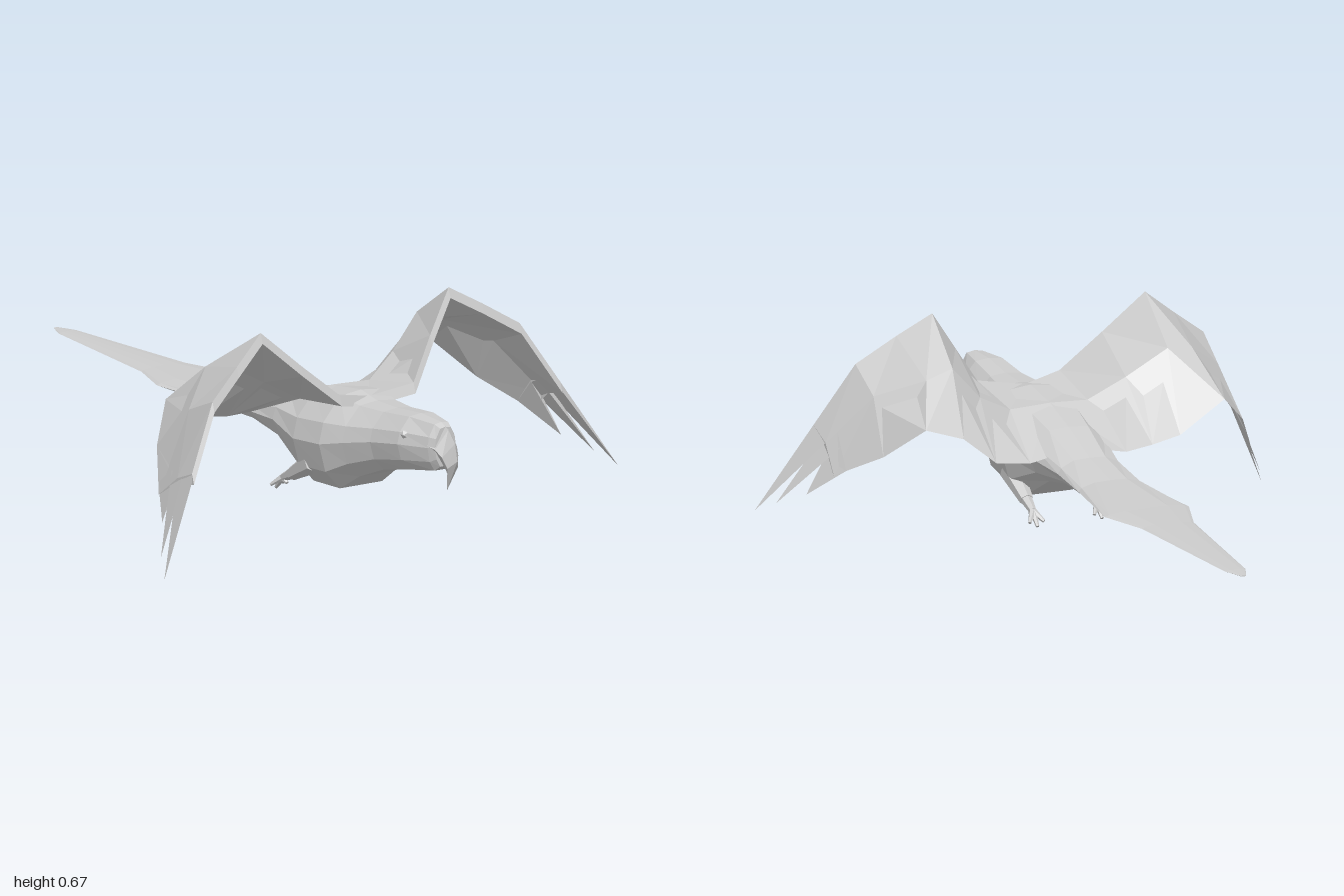
import * as THREE from 'three';

const plumage = new THREE.MeshStandardMaterial({ color: 0xcccccc, flatShading: true, side: THREE.DoubleSide });
plumage.name = 'plumage grey';
const CX = -0.015; // body axis

// Skin a closed surface over rings of [x,y,z] points; a one-point ring makes a tip
function loft(name, rings, flip = false) {
  const n = Math.max(...rings.map(r => r.length));
  const at = (i, j) => rings[i][rings[i].length === 1 ? 0 : j % n];
  const pos = [];
  const tri = (a, b, c) => {
    if (a === b || b === c || a === c) return;
    pos.push(...a, ...(flip ? c : b), ...(flip ? b : c));
  };
  for (let i = 0; i < rings.length - 1; i++) {
    for (let j = 0; j < n; j++) {
      const a = at(i, j), b = at(i, j + 1), c = at(i + 1, j + 1), d = at(i + 1, j);
      tri(a, b, c);
      tri(a, c, d);
    }
  }
  const last = rings.length - 1;
  for (let j = 1; j < n - 1; j++) {
    tri(at(0, 0), at(0, j + 1), at(0, j));
    tri(at(last, 0), at(last, j), at(last, j + 1));
  }
  const g = new THREE.BufferGeometry();
  g.setAttribute('position', new THREE.Float32BufferAttribute(pos, 3));
  g.computeVertexNormals();
  const mesh = new THREE.Mesh(g, plumage);
  mesh.name = name;
  return mesh;
}

const lerp = (a, b, t) => a.map((v, i) => v + (b[i] - v) * t);
const drop = (p, h) => [p[0], p[1] - h, p[2]];

// Tapered limb between two points
function limb(name, a, b, r1, r2) {
  const A = new THREE.Vector3(...a), B = new THREE.Vector3(...b);
  const dir = B.clone().sub(A);
  const mesh = new THREE.Mesh(new THREE.CylinderGeometry(r2, r1, dir.length(), 6), plumage);
  mesh.position.copy(A).add(B).multiplyScalar(0.5);
  mesh.quaternion.setFromUnitVectors(new THREE.Vector3(0, 1, 0), dir.normalize());
  mesh.name = name;
  return mesh;
}

// Body or tail from stations [z, half width, top, bottom]
const half = [[0.5, 0.97], [0.9, 0.72], [1, 0.5], [0.85, 0.2], [0.5, 0]];
const outline = [[0, 1], ...half, ...half.map(([u, v]) => [-u, v]).reverse()];
const bodyLoft = (name, stations) => loft(name, stations.map(([z, w, top, bot]) =>
  outline.map(([u, v]) => [CX + u * w, bot + v * (top - bot), z])));

// Wing from stations of leading, middle and trailing points, then three feather tips
function wing(name, stations, tips, flip) {
  const group = new THREE.Group();
  group.name = name;
  group.add(loft('wingSurface', stations.map(([lead, mid, trail]) =>
    [lead, mid, trail, drop(mid, 0.02), [lead[0], lead[1] - 0.03, lead[2] + 0.01]]), flip));
  const [inner, outer] = stations.slice(-2);
  const base = inner.map((p, i) => lerp(p, outer[i], 0.75));
  const roots = [
    [base[0], base[1]],
    [lerp(base[0], base[1], 0.6), lerp(base[1], base[2], 0.4)],
    [base[1], base[2]],
  ];
  roots.forEach(([front, back], k) => {
    group.add(loft('featherTip', [[front, back, drop(front, 0.025)], [tips[k]]], flip));
  });
  return group;
}

export function createModel() {
  const bird = new THREE.Group();
  bird.name = 'flyingBird';

  bird.add(bodyLoft('body', [
    [0.94, 0.036, 0.4, 0.285],
    [0.92, 0.048, 0.41, 0.27],
    [0.82, 0.083, 0.415, 0.255],
    [0.7, 0.095, 0.405, 0.23],
    [0.6, 0.122, 0.405, 0.19],
    [0.52, 0.146, 0.42, 0.14],
    [0.39, 0.146, 0.405, 0.135],
    [0.25, 0.12, 0.37, 0.215],
    [0.1, 0.098, 0.32, 0.245],
  ]));
  bird.add(bodyLoft('tail', [
    [0.1, 0.098, 0.32, 0.245],
    [-0.05, 0.1, 0.295, 0.25],
    [-0.31, 0.13, 0.285, 0.262],
    [-0.46, 0.08, 0.283, 0.266],
    [-0.94, 0.032, 0.28, 0.273],
    [-1, 0.008, 0.278, 0.275],
  ]));

  // Hooked beak: diamond rings of [top z, top y, bottom z, bottom y, half width]
  const beakRings = [
    [0.92, 0.408, 0.915, 0.285, 0.048],
    [0.955, 0.395, 0.93, 0.28, 0.038],
    [0.988, 0.36, 0.94, 0.275, 0.028],
    [1, 0.31, 0.952, 0.262, 0.018],
  ].map(([tz, ty, bz, by, w]) => {
    const y = (ty + by) / 2, z = (tz + bz) / 2;
    return [[CX, ty, tz], [CX - w, y, z], [CX, by, bz], [CX + w, y, z]];
  });
  bird.add(loft('beak', [...beakRings, [[CX, 0.213, 0.947]]]));

  bird.add(wing('leftWing', [
    [[CX, 0.41, 0.56], [CX, 0.405, 0.38], [CX, 0.33, 0.17]],
    [[0.125, 0.432, 0.58], [0.11, 0.4, 0.38], [0.135, 0.3, 0.175]],
    [[0.21, 0.55, 0.54], [0.22, 0.46, 0.34], [0.25, 0.32, 0.155]],
    [[0.295, 0.672, 0.51], [0.31, 0.56, 0.33], [0.34, 0.395, 0.18]],
    [[0.4, 0.613, 0.525], [0.4, 0.54, 0.31], [0.45, 0.43, 0.195]],
    [[0.52, 0.54, 0.54], [0.52, 0.48, 0.41], [0.535, 0.33, 0.305]],
    [[0.63, 0.36, 0.585], [0.63, 0.33, 0.5], [0.63, 0.25, 0.44]],
  ], [[0.785, 0.105, 0.65], [0.747, 0.14, 0.585], [0.685, 0.18, 0.51]], true));

  bird.add(wing('rightWing', [
    [[CX, 0.41, 0.56], [CX, 0.405, 0.38], [CX, 0.33, 0.17]],
    [[-0.13, 0.432, 0.58], [-0.13, 0.4, 0.38], [-0.16, 0.3, 0.17]],
    [[-0.255, 0.535, 0.565], [-0.24, 0.46, 0.36], [-0.25, 0.305, 0.19]],
    [[-0.38, 0.645, 0.545], [-0.37, 0.53, 0.36], [-0.34, 0.32, 0.2]],
    [[-0.48, 0.565, 0.57], [-0.45, 0.52, 0.37], [-0.49, 0.4, 0.23]],
    [[-0.585, 0.485, 0.6], [-0.57, 0.43, 0.46], [-0.59, 0.3, 0.33]],
    [[-0.67, 0.29, 0.62], [-0.665, 0.26, 0.54], [-0.66, 0.19, 0.44]],
  ], [[-0.787, 0, 0.65], [-0.757, 0.05, 0.59], [-0.7, 0.13, 0.515]], false));

  // Eyes, legs and feet on both sides
  for (const s of [-1, 1]) {
    const eye = new THREE.Mesh(new THREE.IcosahedronGeometry(0.014, 0), plumage);
    eye.position.set(CX + s * 0.066, 0.365, 0.835);
    eye.name = 'eye';
    bird.add(eye);

    const x = CX + s * 0.1, ankle = [x, 0.125, 0.275];
    const leg = new THREE.Group();
    leg.name = s > 0 ? 'leftLeg' : 'rightLeg';
    leg.add(limb('thigh', [x, 0.205, 0.43], [x, 0.145, 0.32], 0.035, 0.02));
    leg.add(limb('shank', [x, 0.148, 0.325], ankle, 0.018, 0.011));
    for (const [dx, y, z] of [[-0.022, 0.1, 0.245], [0, 0.088, 0.24], [0.022, 0.1, 0.245], [0, 0.112, 0.295]]) {
      leg.add(limb('toe', ankle, [x + dx, y, z], 0.011, 0.005));
    }
    bird.add(leg);
  }
  return bird;
}
